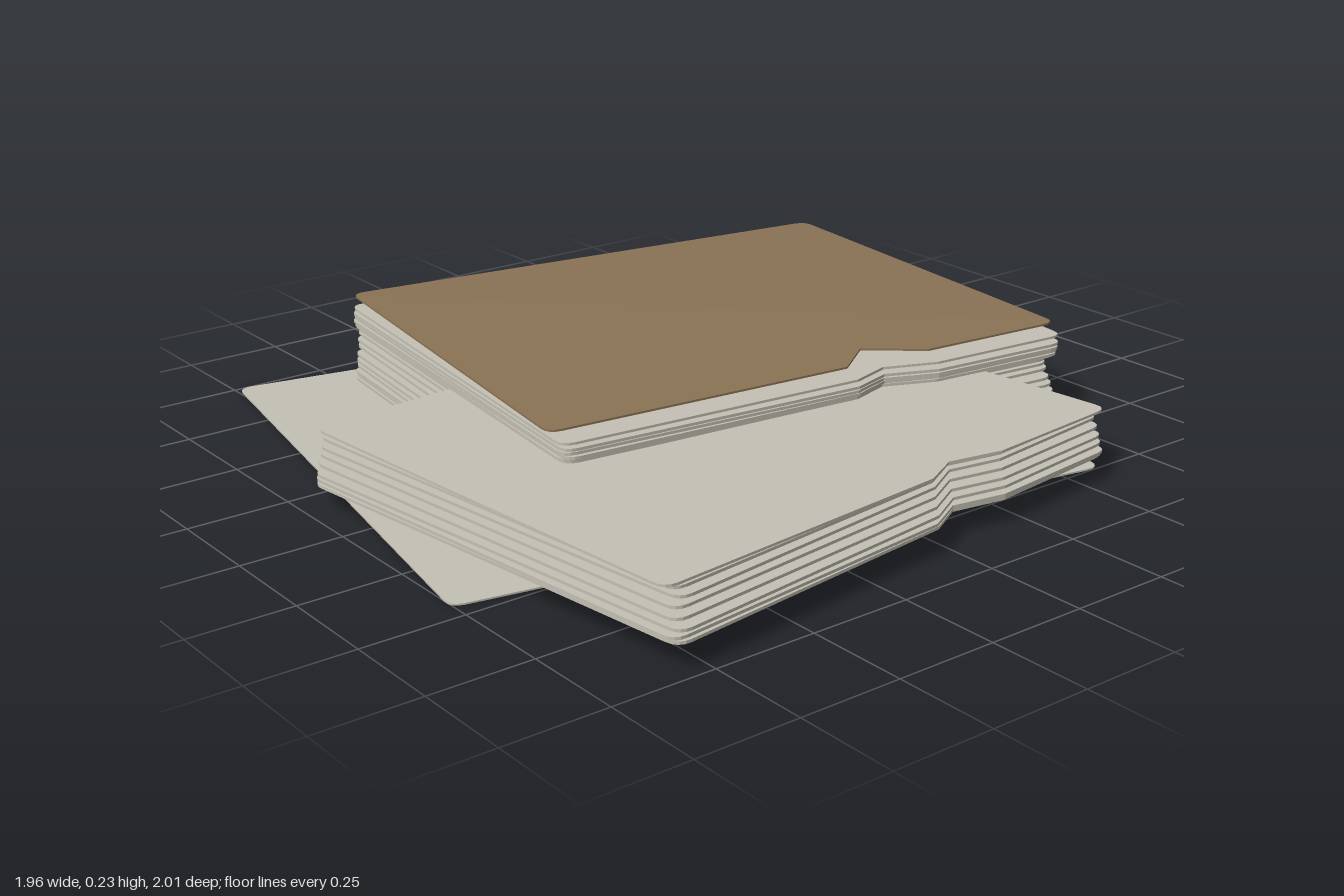
import * as THREE from 'three';

const W = 1.168, H = 1.41; // folder width and height
const deg = Math.PI / 180;

// Rounded rectangle outline, with an optional finger notch in the right edge
function outline(w, h, notch) {
  const x = w / 2, y = h / 2, r = 0.035;
  const s = new THREE.Shape();
  s.moveTo(-x + r, -y);
  s.lineTo(x - r, -y);
  s.quadraticCurveTo(x, -y, x, -y + r);
  if (notch) {
    s.lineTo(x, -0.32);
    s.lineTo(x - notch, -0.185);
    s.lineTo(x, -0.085);
  }
  s.lineTo(x, y - r);
  s.quadraticCurveTo(x, y, x - r, y);
  s.lineTo(-x + r, y);
  s.quadraticCurveTo(-x, y, -x, y - r);
  s.lineTo(-x, -y + r);
  s.quadraticCurveTo(-x, -y, -x + r, -y);
  return s;
}

// Thin flat sheet lying on y = 0; lift raises its back right corner
function sheetGeometry(w, h, notch, thick, lift = 0) {
  const geo = new THREE.ExtrudeGeometry(outline(w, h, notch), { depth: thick, bevelEnabled: false, curveSegments: 4 });
  geo.rotateX(Math.PI / 2).translate(0, thick, 0);
  const p = geo.attributes.position;
  for (let i = 0; i < p.count; i++) {
    const s = p.getX(i) / w + 0.5, t = 0.5 - p.getZ(i) / h;
    p.setY(i, p.getY(i) + lift * s * t);
  }
  geo.computeVertexNormals();
  return geo;
}

export function createModel() {
  const model = new THREE.Group();
  const paper = new THREE.MeshStandardMaterial({ color: 0xc4c0b4 });
  paper.name = 'greyCard';
  const brown = new THREE.MeshStandardMaterial({ color: 0x8b7355 });
  brown.name = 'brownCard';

  function place(parent, name, geo, mat, x, y, z, angle) {
    const mesh = new THREE.Mesh(geo, mat);
    mesh.name = name;
    mesh.position.set(x, y, z);
    mesh.rotation.y = -angle * deg;
    parent.add(mesh);
  }

  // Large sheet under both stacks
  place(model, 'baseSheet', sheetGeometry(1.475, 1.645, 0, 0.004), paper, -0.122, 0, 0.065, 10.5);

  const folder = sheetGeometry(W, H, 0.04, 0.007);

  // A pile whose folders bulge sideways around the height "mid"
  function stack(name, count, pitch, mid, centre, shift, angle, gain, base) {
    const group = new THREE.Group();
    group.name = name;
    for (let i = 0; i < count; i++) {
      const y = 0.005 + i * pitch;
      const k = gain * Math.exp(-(((y + 0.003 - mid) / 0.04) ** 2)) + base;
      const wobble = 0.4 * Math.sin(i * 2.4);
      place(group, 'folder', folder, paper, centre[0] + k * shift[0], y, centre[1] + k * shift[1], angle + wobble);
    }
    model.add(group);
    return group;
  }

  // Taller stack with the brown folder on top
  const tall = stack('tallStack', 18, 0.0105, 0.1, [-0.23, -0.175], [-0.1, -0.066], 6.5, 1.1, -0.1);
  place(tall, 'topGreyFolder', sheetGeometry(W, H, 0.04, 0.006, 0.01), paper, -0.23, 0.193, -0.175, 6.9);
  place(tall, 'brownFolder', sheetGeometry(W, H, 0.095, 0.005, 0.026), brown, -0.28, 0.201, -0.2, 8.4);

  // Lower stack
  const low = stack('lowStack', 12, 0.0105, 0.068, [0.225, 0.135], [0.085, 0.065], -7.2, 1.3, -0.3);
  place(low, 'topGreyFolder', sheetGeometry(W + 0.02, H, 0.04, 0.006, 0.01), paper, 0.225, 0.132, 0.135, -5.3);

  return model;
}
